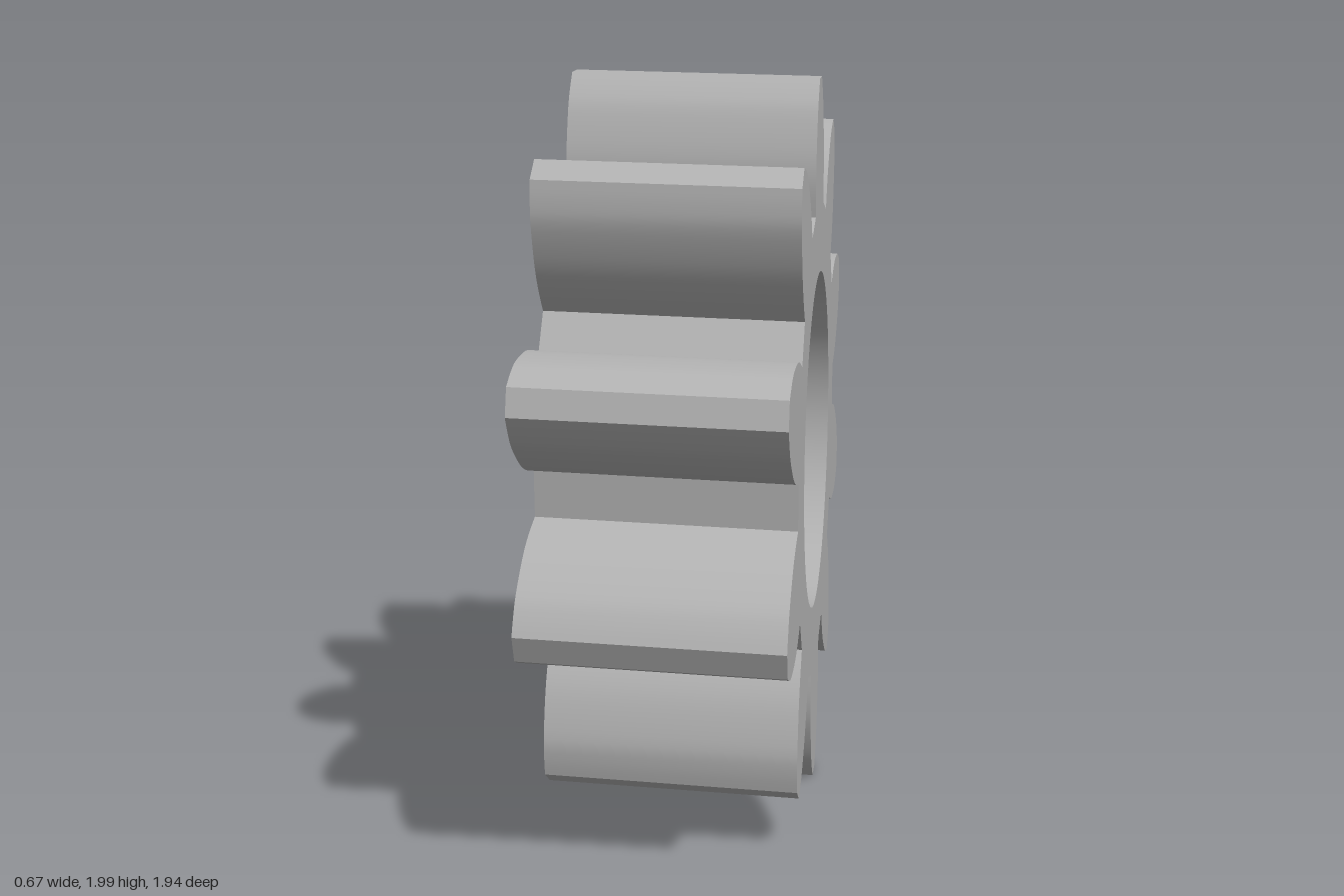
import * as THREE from 'three';
import { toCreasedNormals } from 'three/addons/utils/BufferGeometryUtils.js';

const TEETH = 10;
const WIDTH = 0.66;
const BORE = 0.463;
const OFFSET = THREE.MathUtils.degToRad(4.2); // turn of the first tooth from straight up

// One flank of a tooth: half width against distance from the axis, root to tip
const flank = new THREE.SplineCurve([
  [0.143, 0.637], [0.147, 0.72], [0.137, 0.80], [0.103, 0.90], [0.07, 0.95], [0.036, 0.987],
].map(([x, y]) => new THREE.Vector2(x, y))).getPoints(16);

function gearOutline() {
  const right = flank;
  const left = flank.map(p => new THREE.Vector2(-p.x, p.y)).reverse();
  const tooth = [...right, ...left];
  const origin = new THREE.Vector2();
  const points = [];
  for (let i = 0; i < TEETH; i++) {
    const angle = OFFSET + (i / TEETH) * Math.PI * 2;
    tooth.forEach(p => points.push(p.clone().rotateAround(origin, angle)));
  }
  return new THREE.Shape(points);
}

export function createModel() {
  const group = new THREE.Group();
  group.name = 'spurGear';

  const steel = new THREE.MeshStandardMaterial({ color: 0xb2b2b2 });
  steel.name = 'grey steel';

  // Toothed ring with a round bore
  const shape = gearOutline();
  const bore = new THREE.Path();
  bore.absarc(0, 0, BORE, 0, Math.PI * 2, true);
  shape.holes.push(bore);

  const geometry = new THREE.ExtrudeGeometry(shape, { depth: WIDTH, bevelEnabled: false, curveSegments: 48 });
  geometry.translate(0, 0, -WIDTH / 2);
  geometry.rotateY(Math.PI / 2); // axle runs along x

  // The axle leans slightly down and forward towards +x
  geometry.applyMatrix4(new THREE.Matrix4().set(
    1, 0.005, 0, 0,
    -0.025, 1, 0, 0,
    0.012, 0, 1, 0,
    0, 0, 0, 1,
  ));
  geometry.computeBoundingBox();
  geometry.translate(0, -geometry.boundingBox.min.y, 0);

  const gear = new THREE.Mesh(toCreasedNormals(geometry, Math.PI / 7), steel);
  gear.name = 'toothedRing';
  group.add(gear);
  return group;
}
